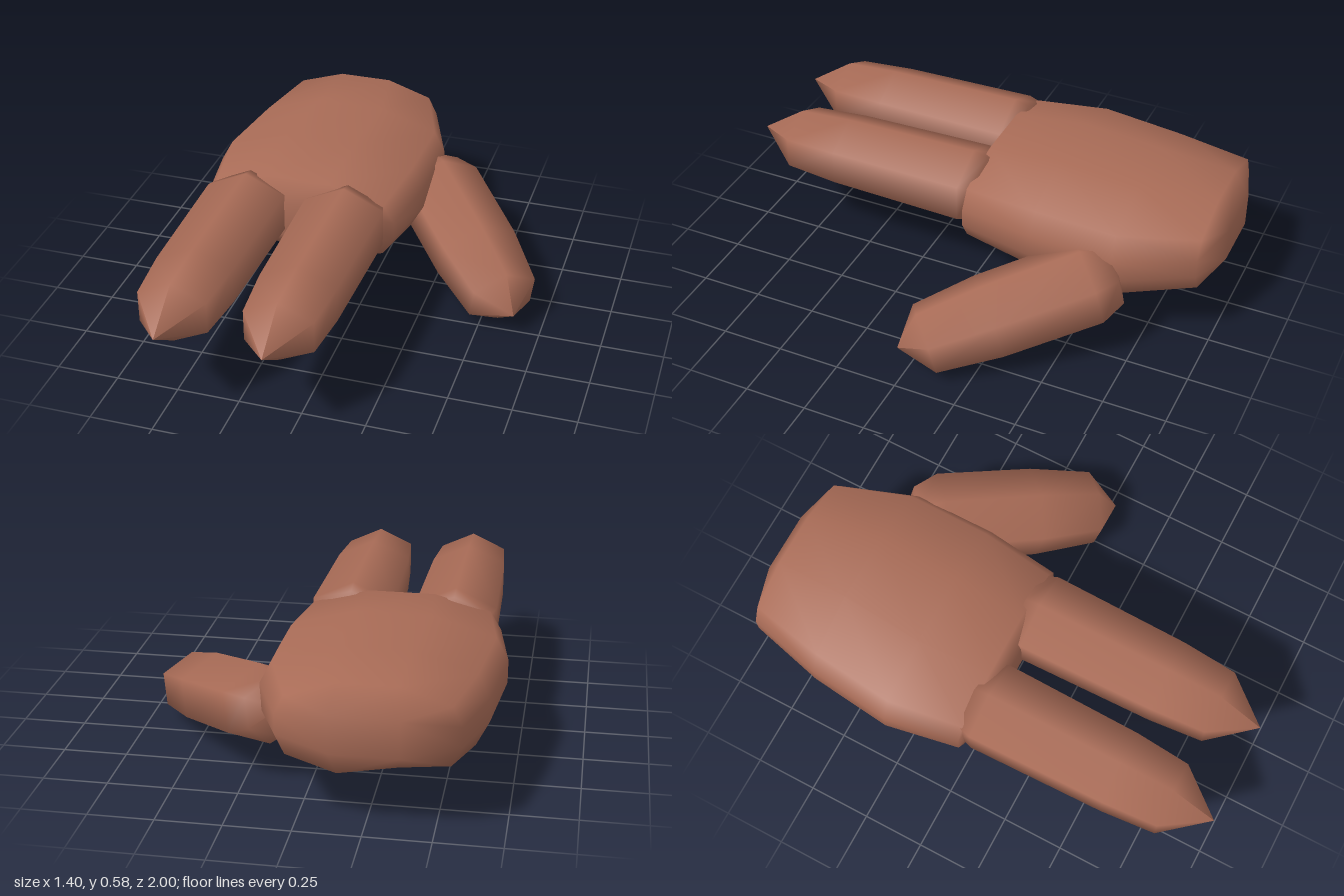
import * as THREE from 'three';
import { mergeVertices } from 'three/addons/utils/BufferGeometryUtils.js';

const clay = new THREE.MeshStandardMaterial({ color: 0xa86b56 });
clay.name = 'terracotta';

// Six-sided digit along +z, wider than tall; profile is [radius, z]
function makeDigit(name, profile) {
  const geo = new THREE.LatheGeometry(profile.map(([r, z]) => new THREE.Vector2(r, z)), 6);
  geo.rotateX(Math.PI / 2);
  geo.scale(1.23, 1, 1);
  const mesh = new THREE.Mesh(geo, clay);
  mesh.name = name;
  return mesh;
}

// Palm: twelve-point cross-sections lofted from heel to knuckles
function makePalm() {
  const quarter = [[1, 0.22], [0.89, 0.65], [0.33, 1]];
  const mirrored = quarter.map(([x, y]) => [-x, y]).reverse();
  const upper = [...quarter, ...mirrored];
  const outline = [...upper, ...upper.map(([x, y]) => [-x, -y])];

  // z, x min, x max, y bottom, y top, end cap?
  const sections = [
    [-1.0, -0.38, -0.13, 0.31, 0.45, true],
    [-0.94, -0.59, 0.07, 0.21, 0.555],
    [-0.64, -0.66, 0.185, 0.14, 0.57],
    [-0.3, -0.70, 0.18, 0.16, 0.575],
    [0.0, -0.65, 0.14, 0.21, 0.55],
    [0.045, -0.38, -0.13, 0.31, 0.46, true],
  ];
  const pos = [];
  const index = [];
  const n = outline.length;
  sections.forEach(([z, x0, x1, y0, y1, cap], i) => {
    for (const [u, v] of outline) {
      // End caps gather the outline into a small rectangle
      const px = cap ? Math.sign(u) : u;
      const py = cap ? Math.sign(v) : v;
      const lift = !cap && py < -0.9 && px < 0 ? 0.04 : 0;
      pos.push((x0 + x1) / 2 + px * (x1 - x0) / 2, (y0 + y1) / 2 + py * (y1 - y0) / 2 + lift, z);
    }
    if (i === 0) return;
    for (let j = 0; j < n; j++) {
      const k = (j + 1) % n;
      const a = (i - 1) * n;
      const b = i * n;
      index.push(a + j, a + k, b + k, a + j, b + k, b + j);
    }
  });
  const last = (sections.length - 1) * n;
  for (let j = 1; j < n - 1; j++) {
    index.push(0, j + 1, j, last, last + j, last + j + 1);
  }
  let geo = new THREE.BufferGeometry();
  geo.setAttribute('position', new THREE.Float32BufferAttribute(pos, 3));
  geo.setIndex(index);
  geo = mergeVertices(geo);
  geo.computeVertexNormals();
  const mesh = new THREE.Mesh(geo, clay);
  mesh.name = 'palm';
  return mesh;
}

export function createModel() {
  const hand = new THREE.Group();
  hand.name = 'hand';
  hand.add(makePalm());

  // Two straight fingers with pointed tips
  const fingerProfile = [[0, -0.06], [0.135, -0.02], [0.152, 0.04], [0.142, 0.6], [0.126, 0.82], [0, 1]];
  [['rightFinger', -0.465], ['leftFinger', -0.055]].forEach(([name, x]) => {
    const finger = makeDigit(name, fingerProfile);
    finger.position.set(x, 0.414, 0);
    hand.add(finger);
  });

  // Blunt thumb reaching outward and down
  const thumb = makeDigit('thumb', [
    [0, -0.13], [0.115, -0.1], [0.155, 0], [0.152, 0.4], [0.127, 0.66], [0, 0.77],
  ]);
  thumb.position.set(0.185, 0.28, -0.55);
  thumb.lookAt(0.585, 0.122, -0.045);
  hand.add(thumb);

  return hand;
}
